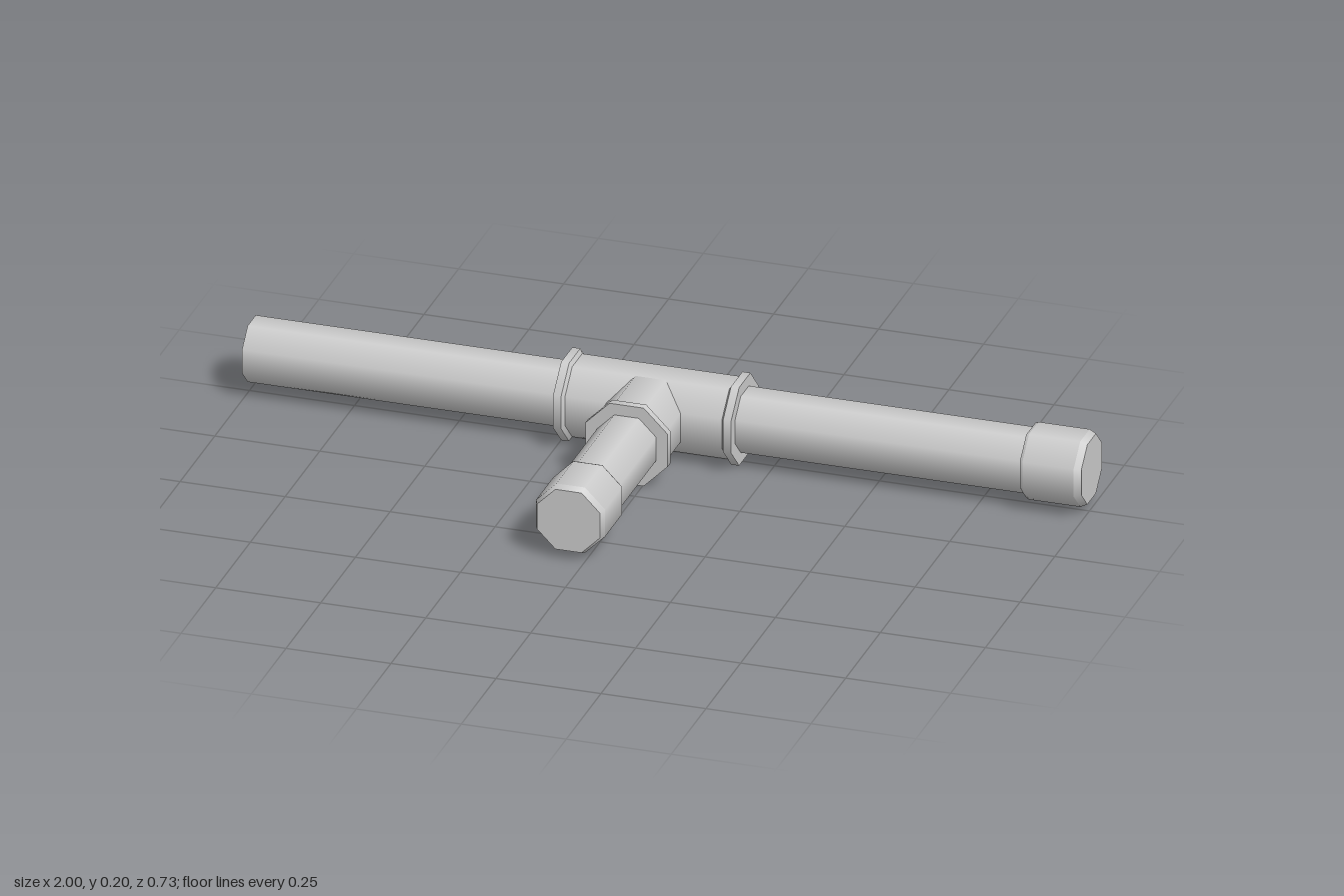
import * as THREE from 'three';
import { mergeGeometries } from 'three/addons/utils/BufferGeometryUtils.js';

const AXIS_Y = 0.098, RUN_Z = -0.266, BRANCH_X = -0.038;
const PIPE = 0.0705, BODY = 0.0878, FLANGE = 0.098, CAP = 0.082;
const material = new THREE.MeshStandardMaterial({ color: 0xcccccc, side: THREE.DoubleSide });

// Octagonal tube from [flat-to-centre radius, position] pairs:
// smooth around the axis, sharp at each step of the profile
function octagonal(profile) {
  const bands = [];
  for (let i = 0; i + 1 < profile.length; i++) {
    const pair = [profile[i], profile[i + 1]].map(
      ([r, t]) => new THREE.Vector2(r / Math.cos(Math.PI / 8), t));
    bands.push(new THREE.LatheGeometry(pair, 8, Math.PI / 8));
  }
  return mergeGeometries(bands);
}

// End cap with a bevelled closed end
const capProfile = (start, end) => [
  [PIPE, start], [0.079, start], [CAP, start + 0.007],
  [CAP, end - 0.016], [0.075, end], [0, end],
];

export function createModel() {
  const model = new THREE.Group();
  const add = (name, profile, alongX) => {
    const geometry = octagonal(profile);
    if (alongX) geometry.rotateZ(-Math.PI / 2).translate(0, AXIS_Y, RUN_Z);
    else geometry.rotateX(Math.PI / 2).translate(BRANCH_X, AXIS_Y, 0);
    const mesh = new THREE.Mesh(geometry, material);
    mesh.name = name;
    model.add(mesh);
  };

  // Main run: open at the right end, capped at the left
  add('mainPipe', [[PIPE, -1], [PIPE, 0.87]], true);
  add('mainCap', capProfile(0.855, 1), true);

  // Tee fitting with a flange at each opening
  add('teeBody', [
    [PIPE, -0.25], [FLANGE, -0.25], [FLANGE, -0.231], [BODY, -0.225],
    [BODY, 0.149], [FLANGE, 0.155], [FLANGE, 0.174], [PIPE, 0.174],
  ], true);
  add('teeBranch', [
    [BODY, -0.23], [BODY, -0.081], [FLANGE, -0.075], [FLANGE, -0.056], [PIPE, -0.056],
  ], false);

  // Side branch
  add('branchPipe', [[PIPE, -0.18], [PIPE, 0.23]], false);
  add('branchCap', capProfile(0.218, 0.363), false);

  return model;
}
